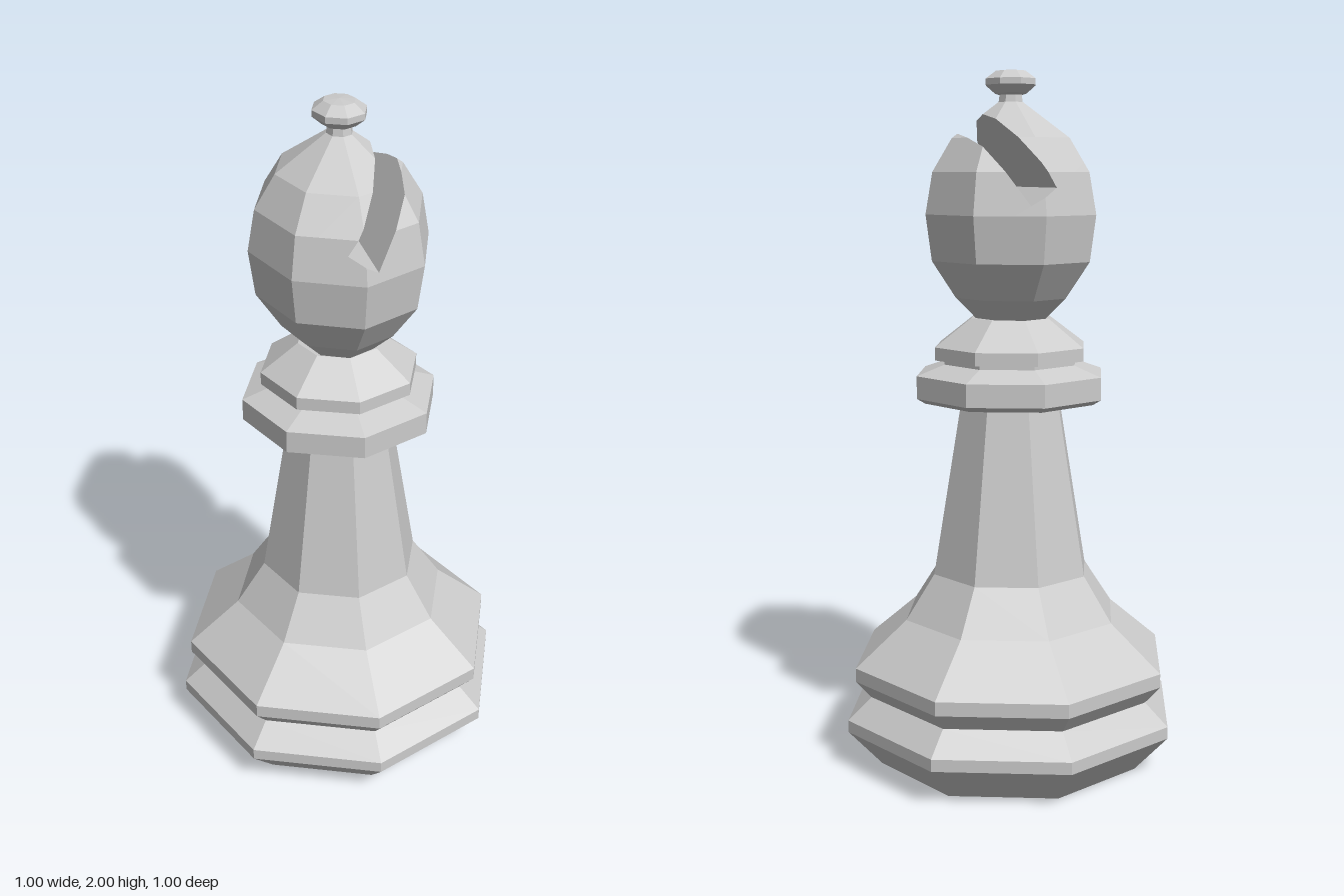
import * as THREE from 'three';

const SIDES = 8;
const SQUASH = 0.87; // the head and finial are narrower in x than in z
const v3 = (x, y, z) => new THREE.Vector3(x, y, z);

// Eight-sided turned part from [radius, height] pairs, bottom to top
function turned(name, profile, material) {
  const points = profile.map(([r, y]) => new THREE.Vector2(r, y));
  const mesh = new THREE.Mesh(new THREE.LatheGeometry(points, SIDES), material);
  mesh.name = name;
  return mesh;
}

// Keep the part of a convex polygon that lies behind every plane
function clip(polygon, planes) {
  return planes.reduce((poly, plane) => {
    const out = [];
    poly.forEach((a, i) => {
      const b = poly[(i + 1) % poly.length];
      const da = plane.distanceToPoint(a), db = plane.distanceToPoint(b);
      if (da <= 0) out.push(a);
      if ((da < 0 && db > 0) || (da > 0 && db < 0)) out.push(a.clone().lerp(b, da / (da - db)));
    });
    return out;
  }, polygon);
}

// Fan-triangulate convex polygons into one geometry
function polygonsToGeometry(polygons) {
  const points = [];
  for (const p of polygons) {
    for (let i = 2; i < p.length; i++) points.push(p[0], p[i - 1], p[i]);
  }
  const geometry = new THREE.BufferGeometry().setFromPoints(points);
  geometry.computeVertexNormals();
  return geometry;
}

// Convex faceted head with a slanted slot cut right through it
function headGeometry() {
  const profile = [[0.115, 1.3], [0.19, 1.365], [0.27, 1.47], [0.29, 1.6],
    [0.266, 1.717], [0.2, 1.81], [0.042, 1.91]];
  const rings = profile.map(([r, y]) => Array.from({ length: SIDES }, (_, j) => {
    const a = (j / SIDES) * Math.PI * 2;
    return v3(r * SQUASH * Math.sin(a), y, r * Math.cos(a));
  }));
  const faces = [[...rings[0]].reverse(), [...rings[rings.length - 1]]];
  for (let i = 0; i < rings.length - 1; i++) {
    for (let j = 0; j < SIDES; j++) {
      const k = (j + 1) % SIDES;
      faces.push([rings[i][j], rings[i][k], rings[i + 1][k], rings[i + 1][j]]);
    }
  }
  const facePlanes = faces.map(f => new THREE.Plane().setFromCoplanarPoints(f[0], f[1], f[2]));

  // Slot frame: "across" spans its width, "along" runs up out of the head
  const along = v3(0.527, 0.85, 0).normalize();
  const across = v3(along.y, -along.x, 0);
  const corner = v3(-0.042, 1.675, 0);
  const width = 0.092;
  const at = (s, t, z) => corner.clone().addScaledVector(across, s).addScaledVector(along, t).setZ(z);
  const plane = (normal, point) => new THREE.Plane().setFromNormalAndCoplanarPoint(normal, point);
  const above = plane(along, corner);
  const pastLeft = plane(across, corner);
  const pastRight = plane(across, at(width, 0, 0));
  const flip = p => p.clone().negate();

  // Outer skin below and on either side of the slot
  const regions = [[above], [flip(above), pastLeft], [flip(above), flip(pastRight)]];
  const skin = faces.flatMap(f => regions.map(region => clip(f, region)));

  // Slot walls and floor, trimmed to the head
  const wall = s => [at(s, 0, -1), at(s, 1, -1), at(s, 1, 1), at(s, 0, 1)];
  const floor = [at(0, 0, -1), at(0, 0, 1), at(width, 0, 1), at(width, 0, -1)];
  const inside = [wall(0), wall(width).reverse(), floor].map(p => clip(p, facePlanes));
  return polygonsToGeometry([...skin, ...inside]);
}

export function createModel() {
  const group = new THREE.Group();
  group.name = 'chessBishop';
  const material = new THREE.MeshStandardMaterial({ color: 0xcccccc, flatShading: true });

  // Foot, flared skirt and tapering stem
  group.add(turned('baseAndStem', [
    [0, 0], [0.4, 0], [0.5, 0.11], [0.5, 0.145], [0.43, 0.208], [0.475, 0.26], [0.475, 0.3],
    [0.322, 0.43], [0.236, 0.56], [0.15, 1.07],
  ], material));

  // Wide collar with a smaller ring above it
  group.add(turned('collar', [
    [0.14, 1.065], [0.258, 1.065], [0.283, 1.08], [0.283, 1.145], [0.2, 1.175], [0.2, 1.185],
    [0.228, 1.188], [0.228, 1.225], [0.12, 1.305], [0, 1.305],
  ], material));

  // Slotted head
  const head = new THREE.Mesh(headGeometry(), material);
  head.name = 'head';
  group.add(head);

  // Finial
  const finial = turned('finial', [
    [0.042, 1.905], [0.038, 1.93], [0.055, 1.935], [0.085, 1.957], [0.085, 1.974],
    [0.05, 1.996], [0, 2],
  ], material);
  finial.scale.x = SQUASH;
  group.add(finial);

  return group;
}
